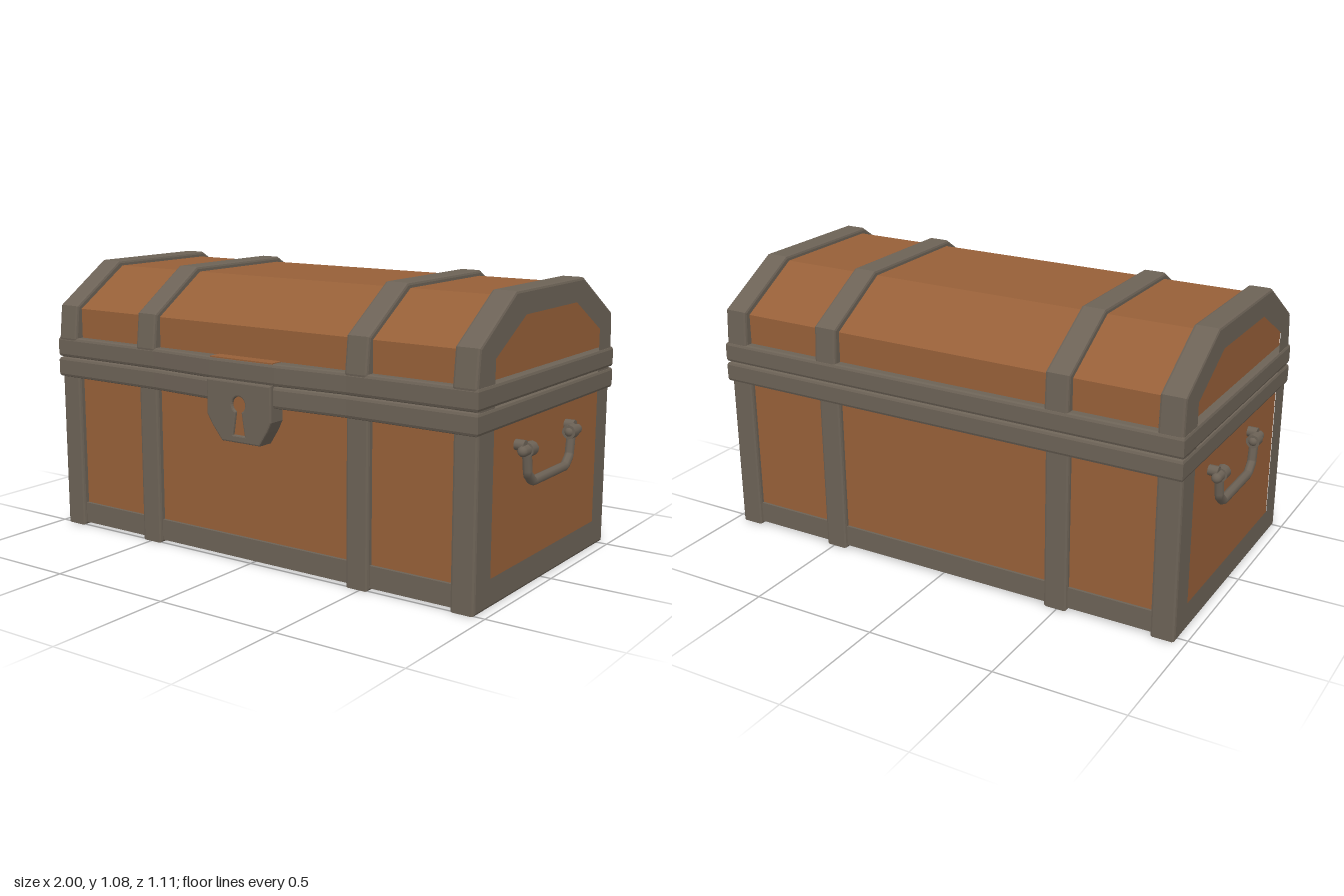
import * as THREE from 'three';

export function createModel() {
  const chest = new THREE.Group();
  chest.name = 'treasureChest';
  const wood = new THREE.MeshStandardMaterial({ color: 0x965f38 });
  wood.name = 'wood';
  const metal = new THREE.MeshStandardMaterial({ color: 0x6c6256 });
  metal.name = 'iron';

  const add = (name, geometry, material, parent = chest) => {
    const mesh = new THREE.Mesh(geometry, material);
    mesh.name = name;
    parent.add(mesh);
    return mesh;
  };
  const box = (name, material, x0, x1, y0, y1, z0, z1) =>
    add(name, new THREE.BoxGeometry(x1 - x0, y1 - y0, z1 - z0), material)
      .position.set((x0 + x1) / 2, (y0 + y1) / 2, (z0 + z1) / 2);
  const points = (list) => list.map(([a, b]) => new THREE.Vector2(a, b));

  // Extrudes a shape with softened edges that stay within the given outline
  const extrude = (shape, depth, bevel) => {
    const geometry = new THREE.ExtrudeGeometry(shape, {
      depth: depth - 2 * bevel, bevelEnabled: bevel > 0, bevelThickness: bevel,
      bevelSize: bevel, bevelOffset: -bevel, bevelSegments: 2, curveSegments: 10,
    });
    return geometry.translate(0, 0, bevel);
  };
  // Cross-section given as [z, y], extruded along x
  const section = (outline, hole, x0, x1, bevel) => {
    const flip = (list) => points(list.map(([z, y]) => [-z, y]));
    const shape = new THREE.Shape(flip(outline));
    if (hole) shape.holes.push(new THREE.Path(flip(hole)));
    return extrude(shape, x1 - x0, bevel).rotateY(Math.PI / 2).translate(x0, 0, 0);
  };

  // Wooden body with the faceted lid
  const woodOutline = [
    [0.485, 0.02], [0.485, 0.9], [0.245, 1.055], [-0.255, 1.055], [-0.515, 0.9], [-0.515, 0.02],
  ];
  add('woodenBody', section(woodOutline, null, -0.935, 0.935, 0), wood);

  // Iron bands around the chest
  const bandOutline = [
    [0.51, 0], [0.51, 0.7], [0.522, 0.78], [0.507, 0.912], [0.262, 1.075],
    [-0.27, 1.075], [-0.54, 0.915], [-0.548, 0.78], [-0.535, 0.7], [-0.535, 0],
  ];
  const bandHole = [
    [0.47, 0.035], [0.47, 0.89], [0.24, 1.04], [-0.25, 1.04], [-0.5, 0.89], [-0.5, 0.035],
  ];
  add('middleBandRight', section(bandOutline, bandHole, -0.54, -0.445, 0.01), metal);
  add('middleBandLeft', section(bandOutline, bandHole, 0.44, 0.535, 0.01), metal);

  // End frames, open over the wooden end panels
  const endHole = [
    [0.41, 0.095], [0.41, 0.87], [0.19, 0.998], [-0.217, 0.998], [-0.44, 0.87], [-0.44, 0.095],
  ];
  add('endFrameRight', section(bandOutline, endHole, -0.963, -0.868, 0.01), metal);
  add('endFrameLeft', section(bandOutline, endHole, 0.868, 0.963, 0.01), metal);

  // Rails along the bottom edges
  box('frontBottomRail', metal, -0.9, 0.9, 0.012, 0.095, 0.45, 0.498);
  box('backBottomRail', metal, -0.9, 0.9, 0.012, 0.095, -0.525, -0.475);

  // Two rim hoops, swelling forward at the lock
  const rim = new THREE.Shape(points([
    [-0.968, -0.522], [-0.45, -0.522], [-0.15, -0.542], [0.15, -0.542], [0.45, -0.522],
    [0.968, -0.522], [0.968, 0.553], [-0.968, 0.553],
  ]));
  for (const [name, y] of [['bodyRim', 0.62], ['lidRim', 0.702]]) {
    const hoop = extrude(rim, 0.081, 0.012).rotateX(-Math.PI / 2).translate(0, y, 0);
    add(name, hoop, metal);
  }
  box('rimWoodInlay', wood, -0.15, 0.14, 0.781, 0.786, 0.47, 0.538);

  // Lock plate with a keyhole
  const plate = new THREE.Shape(points([
    [-0.155, 0.705], [-0.155, 0.57], [-0.13, 0.53], [-0.085, 0.476],
    [0.09, 0.476], [0.125, 0.53], [0.145, 0.57], [0.145, 0.705],
  ]));
  const keyhole = new THREE.Path();
  keyhole.moveTo(-0.032, 0.505);
  keyhole.lineTo(0.022, 0.505);
  keyhole.lineTo(0.008, 0.59);
  keyhole.absarc(-0.005, 0.62, 0.03, -1.1, Math.PI + 1.1, false);
  keyhole.lineTo(-0.018, 0.59);
  plate.holes.push(keyhole);
  add('lockPlate', extrude(plate, 0.076, 0.006).translate(0, 0, 0.48), metal);
  box('keyholeBack', wood, -0.04, 0.03, 0.495, 0.66, 0.538, 0.546);

  // Drop handles on both ends
  for (const side of [1, -1]) {
    const handle = new THREE.Group();
    handle.name = side > 0 ? 'leftHandle' : 'rightHandle';
    const path = new THREE.CurvePath();
    const corners = [[0.165, 0.515], [0.15, 0.42], [0.115, 0.388], [-0.15, 0.388], [-0.185, 0.42], [-0.2, 0.515]]
      .map(([z, y]) => new THREE.Vector3(side * 0.968, y, z));
    for (let i = 1; i < corners.length; i++) path.add(new THREE.LineCurve3(corners[i - 1], corners[i]));
    add('handleBar', new THREE.TubeGeometry(path, 40, 0.018, 8), metal, handle);
    for (const z of [0.172, -0.205]) {
      // Pivot barrel, its collar and the stud into the panel
      const barrel = new THREE.CapsuleGeometry(0.02, 0.06, 4, 10).rotateX(Math.PI / 2);
      add('handlePivot', barrel, metal, handle).position.set(side * 0.972, 0.513, z);
      const collar = new THREE.CylinderGeometry(0.027, 0.027, 0.04, 10).rotateX(Math.PI / 2);
      add('handleCollar', collar, metal, handle).position.set(side * 0.972, 0.513, z + (z > 0 ? -0.02 : 0.02));
      const stud = new THREE.CylinderGeometry(0.02, 0.02, 0.05, 10).rotateZ(Math.PI / 2);
      add('handleStud', stud, metal, handle).position.set(side * 0.948, 0.53, z + (z > 0 ? 0.012 : -0.012));
    }
    chest.add(handle);
  }
  return chest;
}
